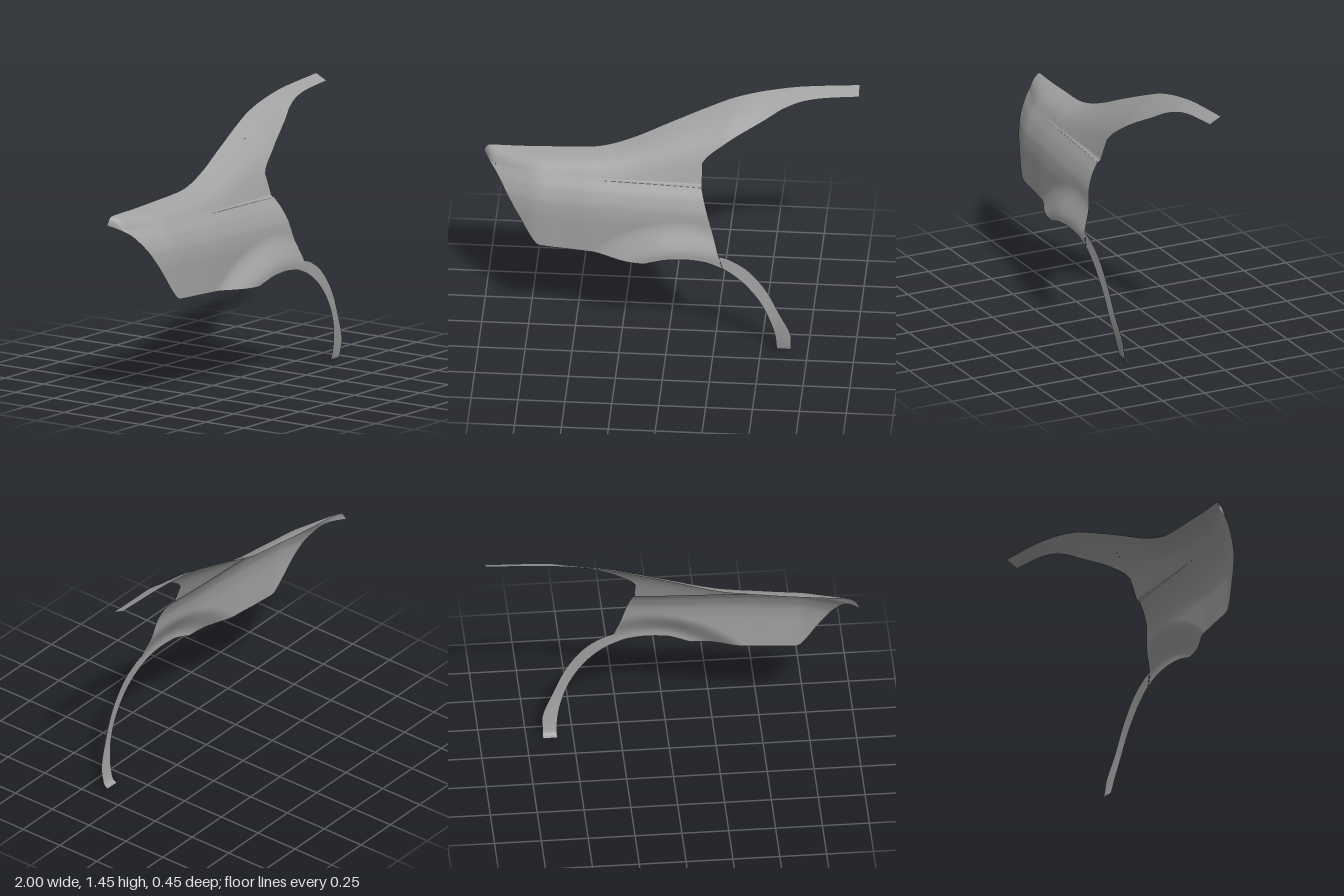
import * as THREE from 'three';

const { lerp, smoothstep } = THREE.MathUtils;
const material = new THREE.MeshStandardMaterial({ color: 0xa0a0a0, side: THREE.DoubleSide });

// Smooth function through [x, value] points that never overshoots them
function curve(pts) {
  const last = pts.length - 1;
  const slope = (i) => (pts[i + 1][1] - pts[i][1]) / (pts[i + 1][0] - pts[i][0]);
  const m = pts.map((p, i) => {
    if (i === 0) return slope(0);
    if (i === last) return slope(last - 1);
    const a = slope(i - 1), b = slope(i);
    return a * b <= 0 ? 0 : (2 * a * b) / (a + b);
  });
  return (x) => {
    let i = 0;
    while (i < last - 1 && x > pts[i + 1][0]) i++;
    const h = pts[i + 1][0] - pts[i][0];
    const t = THREE.MathUtils.clamp((x - pts[i][0]) / h, 0, 1);
    const t2 = t * t, t3 = t2 * t;
    return (2 * t3 - 3 * t2 + 1) * pts[i][1] + (t3 - 2 * t2 + t) * h * m[i]
      + (3 * t2 - 2 * t3) * pts[i + 1][1] + (t3 - t2) * h * m[i + 1];
  };
}

// Curved sheet from a point function of u, v in 0..1
function sheet(name, nu, nv, point) {
  const pos = [], index = [];
  for (let i = 0; i <= nu; i++) {
    for (let j = 0; j <= nv; j++) {
      pos.push(...point(i / nu, j / nv));
      if (i < nu && j < nv) {
        const a = i * (nv + 1) + j, b = a + nv + 1;
        index.push(a, b, b + 1, a, b + 1, a + 1);
      }
    }
  }
  const geo = new THREE.BufferGeometry();
  geo.setAttribute('position', new THREE.Float32BufferAttribute(pos, 3));
  geo.setIndex(index);
  geo.computeVertexNormals();
  const mesh = new THREE.Mesh(geo, material);
  mesh.name = name;
  return mesh;
}

// Outline heights and the depth of the top edge
const topY = curve([[-1, 0.99], [-0.99, 1.012], [-0.975, 1.03], [-0.95, 1.036], [-0.8, 1.044], [-0.6, 1.058],
  [-0.4, 1.077], [-0.3, 1.098], [-0.2, 1.132], [0, 1.22], [0.2, 1.305], [0.35, 1.363], [0.5, 1.4],
  [0.7, 1.43], [1, 1.45]]);
const topZ = curve([[-1, -0.15], [-0.95, -0.14], [-0.6, -0.114], [-0.4, -0.1], [-0.2, -0.118], [0, -0.148],
  [0.35, -0.2], [0.7, -0.222], [1, -0.228]]);
const bottomY = curve([[-0.965, 0.96], [-0.93, 0.93], [-0.9, 0.89], [-0.8, 0.725], [-0.71, 0.578], [-0.695, 0.565],
  [-0.67, 0.56], [-0.4, 0.555], [-0.3, 0.55], [-0.13, 0.543], [-0.08, 0.558], [0, 0.58], [0.1, 0.587],
  [0.2, 0.577], [0.3, 0.54]]);
const pillarY = curve([[0.18, 1.08], [0.2, 1.107], [0.27, 1.162], [0.35, 1.215], [0.5, 1.297],
  [0.6, 1.352], [0.7, 1.385], [0.8, 1.4], [1, 1.415]]);

// Body side depth: a crest along x, a profile over y and a flare around the wheel arch
const crest = curve([[-1, -0.065], [-0.95, 0], [-0.9, 0.023], [-0.8, 0.062], [-0.7, 0.094], [-0.55, 0.112],
  [-0.4, 0.13], [0, 0.155], [0.3, 0.178]]);
const profile = curve([[0.54, 0.001], [0.74, 0], [0.82, -0.008], [0.9, -0.037], [0.96, -0.076], [0.985, -0.092]]);
function bodyZ(x, y) {
  const r = Math.hypot(x - 0.1, y - 0.09);
  const flared = 0.222 - 0.015 * smoothstep(-x, 0, 0.2);
  return crest(x) + profile(y) + (flared - crest(x)) * (1 - smoothstep(r, 0.52, 0.69));
}

// Shoulder depth: a small step at the waist, then leaning back and rolling over at the top
const WAIST = 0.96;
const waistY = (x) => (x < -0.965 ? lerp(0.985, WAIST, (x + 1) / 0.035) : WAIST);
function shoulderZ(x, y) {
  const y0 = waistY(x);
  const t = (y - y0) / (topY(x) - y0);
  const step = 0.016 * smoothstep(x, -0.65, 0.18) * smoothstep(t, 0, 0.02);
  const base = bodyZ(x, y0) - step + 0.08 * smoothstep(x, 0.45, 0.75);
  return lerp(base, topZ(x), 0.45 * t + 0.55 * t ** 4);
}

// Column from a lower edge up to the top edge, with closer rows near both ends
function column(x, y0, v) {
  const y = lerp(y0, topY(x), smoothstep(v, 0, 1));
  return [x, y, shoulderZ(x, y)];
}

const path = (pts) => new THREE.CatmullRomCurve3(pts.map((p) => new THREE.Vector3(...p)));

export function createModel() {
  const model = new THREE.Group();
  model.name = 'rearQuarterPanel';

  // Side below the waist crease, with the flared arch
  model.add(sheet('lowerSide', 150, 50, (u, v) => {
    const xb = lerp(-0.965, 0.3, u);
    const x = lerp(xb, xb - 0.12 * smoothstep(xb, -0.3, 0.3), v);
    const y = lerp(bottomY(xb), WAIST, v);
    return [x, y, bodyZ(x, y)];
  }));

  // Shoulder above the crease
  model.add(sheet('shoulder', 120, 30, (u, v) => {
    const x = lerp(-1, 0.18, u ** 1.3);
    return column(x, waistY(x), v);
  }));

  // Roof pillar sweeping back
  model.add(sheet('roofPillar', 80, 24, (u, v) => {
    const x = lerp(0.18, 1, u);
    return column(x, pillarY(x), v);
  }));

  // Thin wheel arch strip ending in an inturned foot
  const inner = path([
    [0.3, 0.54, 0.222], [0.35, 0.508, 0.223], [0.42, 0.445, 0.223], [0.5, 0.335, 0.219], [0.55, 0.22, 0.21],
    [0.578, 0.11, 0.191], [0.583, 0.05, 0.178], [0.584, 0.012, 0.165], [0.584, 0, 0.142],
  ]);
  const outer = path([
    [0.279, 0.615, 0.219], [0.335, 0.596, 0.218], [0.43, 0.535, 0.217], [0.53, 0.41, 0.214], [0.605, 0.25, 0.204],
    [0.66, 0.12, 0.187], [0.662, 0.05, 0.177], [0.662, 0.012, 0.165], [0.662, 0, 0.142],
  ]);
  model.add(sheet('wheelArchStrip', 64, 4, (u, v) =>
    inner.getPoint(u).lerp(outer.getPoint(u), v).toArray()));

  return model;
}
